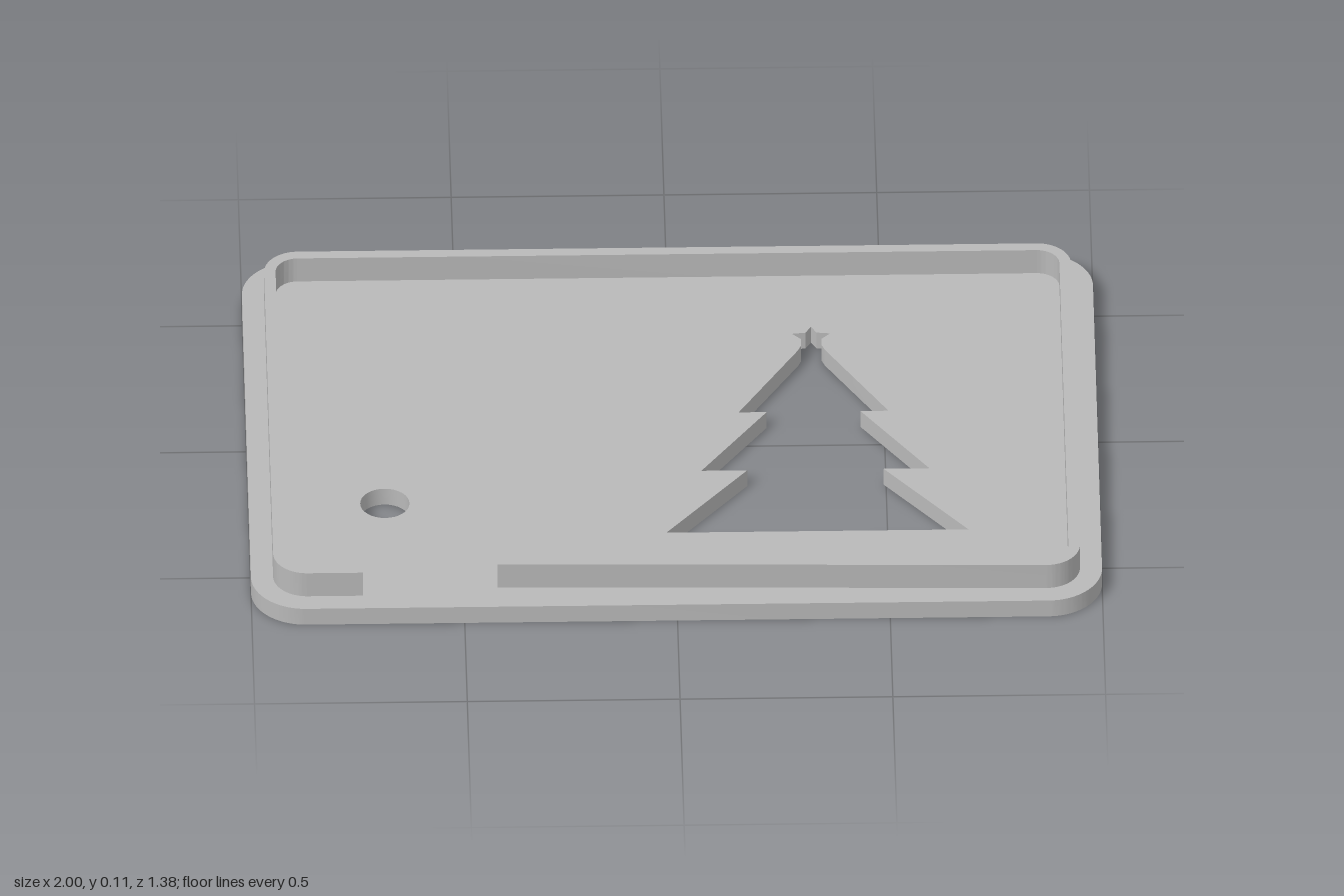
import * as THREE from 'three';
import { toCreasedNormals } from 'three/addons/utils/BufferGeometryUtils.js';

const PLATE_TOP = 0.046, RIM_TOP = 0.113;
const GAP_LEFT = -0.738, GAP_RIGHT = -0.422;

// Corner arcs of a rounded rectangle, counter-clockwise from the front right one
function corners(x, y, r) {
  return [[x - r, r - y, -0.5], [x - r, y - r, 0], [r - x, y - r, 0.5], [r - x, r - y, 1]]
    .map(([cx, cy, a]) => [cx, cy, r, a * Math.PI, (a + 0.5) * Math.PI]);
}

// Extrude a plan (x, -z) upwards from a given height
function slab(shape, bottom, height) {
  const geo = new THREE.ExtrudeGeometry(shape, { depth: height, bevelEnabled: false, curveSegments: 16 });
  geo.rotateX(-Math.PI / 2);
  geo.translate(0, bottom, 0);
  return toCreasedNormals(geo, 0.45);
}

// Tree cutout: left half as [offset from axis, z], mirrored to the right
function treeHole() {
  const axis = 0.334;
  const half = [
    [0.355, 0.402], [0.160, 0.158], [0.268, 0.158], [0.110, -0.072], [0.176, -0.072],
    [0.032, -0.315], [0.024, -0.335], [0.024, -0.36], [0.045, -0.381], [0.013, -0.385],
  ];
  const points = half.map(([d, z]) => new THREE.Vector2(axis - d, -z));
  points.push(new THREE.Vector2(axis, 0.408));
  for (const [d, z] of [...half].reverse()) points.push(new THREE.Vector2(axis + d, -z));
  return new THREE.Path(points);
}

export function createModel() {
  const model = new THREE.Group();
  model.name = 'lid';
  const grey = new THREE.MeshStandardMaterial({ color: 0xb8b8b8 });
  grey.name = 'grey';

  // Base plate with tree cutout and round hole
  const plate = new THREE.Shape();
  for (const c of corners(1, 0.688, 0.128)) plate.absarc(...c, false);
  plate.closePath();
  const roundHole = new THREE.Path();
  roundHole.absarc(-0.68, -0.273, 0.058, 0, Math.PI * 2, true);
  plate.holes.push(treeHole(), roundHole);
  const plateMesh = new THREE.Mesh(slab(plate, 0, PLATE_TOP), grey);
  plateMesh.name = 'basePlate';
  model.add(plateMesh);

  // Raised rim: out along the outer wall, back along the inner, open at the front gap
  const outerY = 0.638, innerY = 0.611;
  const rim = new THREE.Shape();
  rim.moveTo(GAP_RIGHT, -outerY);
  for (const c of corners(0.948, outerY, 0.08)) rim.absarc(...c, false);
  rim.lineTo(GAP_LEFT, -outerY);
  rim.lineTo(GAP_LEFT, -innerY);
  for (const [x, y, r, a, b] of corners(0.921, innerY, 0.053).reverse()) rim.absarc(x, y, r, b, a, true);
  rim.lineTo(GAP_RIGHT, -innerY);
  rim.closePath();
  const rimMesh = new THREE.Mesh(slab(rim, PLATE_TOP, RIM_TOP - PLATE_TOP), grey);
  rimMesh.name = 'rim';
  model.add(rimMesh);

  return model;
}
